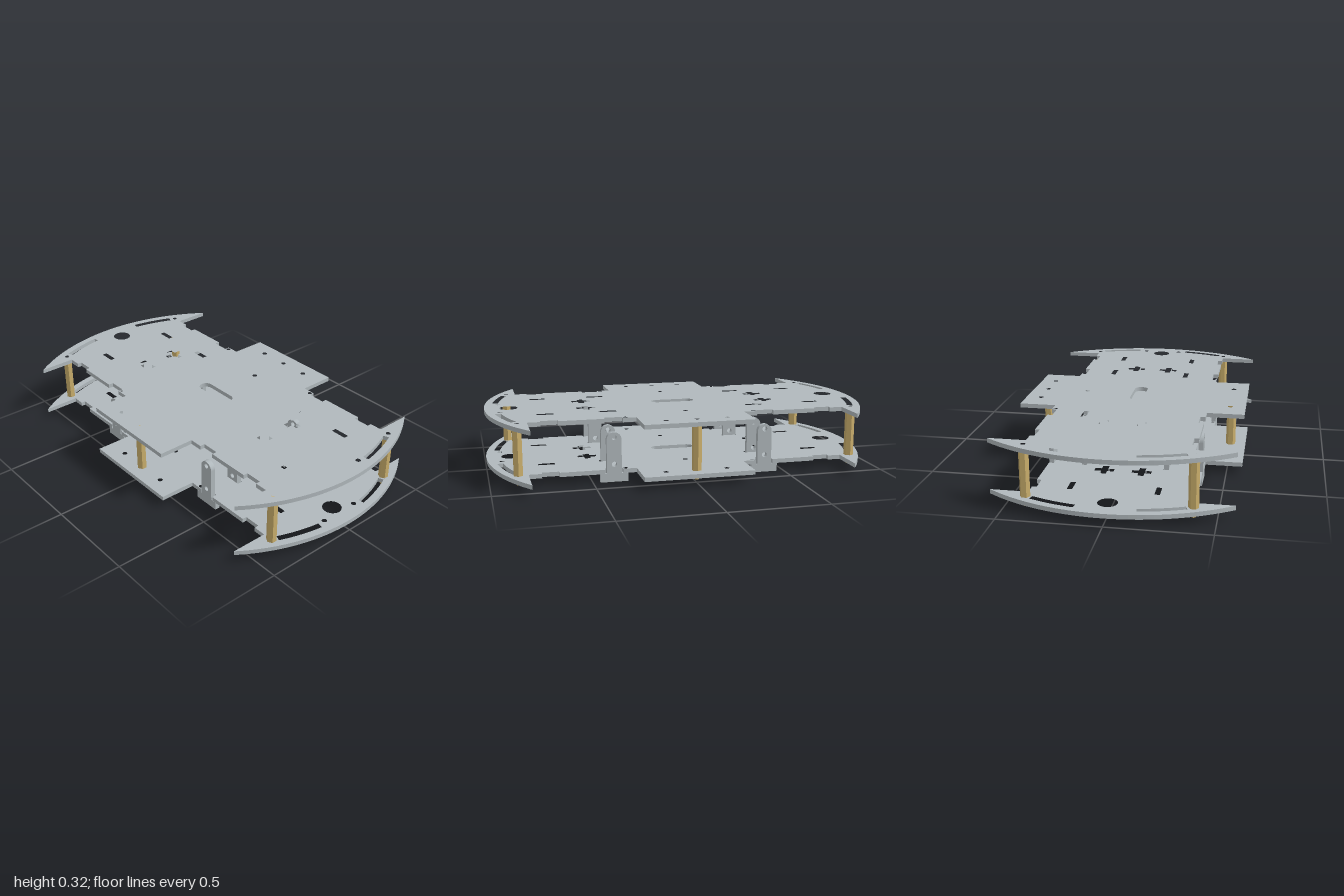
import * as THREE from 'three';

const steel = new THREE.MeshStandardMaterial({ color: 0xb0b8bc });
steel.name = 'plate grey';
const brass = new THREE.MeshStandardMaterial({ color: 0xc8ad6b });
brass.name = 'brass';

const PLATE = 0.022, LOW = 0.042, HIGH = 0.3;
const POSTS = [[0, 0.503], [0, -0.503]];
for (const sx of [1, -1]) for (const sz of [1, -1]) POSTS.push([sx * 0.864, sz * 0.393]);

const path = pts => new THREE.Path(pts.map(([x, y]) => new THREE.Vector2(x, y)));
const circle = (x, y, r) => new THREE.Path().absarc(x, y, r, 0, Math.PI * 2, true);
const rect = (x, y, w, h) => path([[x - w, y - h], [x - w, y + h], [x + w, y + h], [x + w, y - h]]);
const cross = (x, y, a, b) => path([
  [-b, -a], [-b, -b], [-a, -b], [-a, b], [-b, b], [-b, a],
  [b, a], [b, b], [a, b], [a, -b], [b, -b], [b, -a],
].map(([px, py]) => [x + px, y + py]));

// Chassis deck with fins, edge notches and all cut-outs
function deckGeometry() {
  const quarter = [
    [0.28, 0.581], [0.28, 0.393], [0.348, 0.393], [0.348, 0.367], [0.438, 0.367], [0.438, 0.393],
    [0.665, 0.393], [0.665, 0.37], [0.75, 0.37], [0.75, 0.393], [0.815, 0.393],
  ];
  const tip = Math.atan2(0.581, 0.815);
  for (let i = 0; i <= 16; i++) {
    const a = tip * (1 - i / 16);
    quarter.push([Math.cos(a), Math.sin(a)]);
  }
  const back = quarter.slice(0, -1).reverse();
  const flip = (pts, sx, sy) => pts.map(([x, y]) => [x * sx, y * sy]);
  const outline = [
    ...quarter, ...flip(back, 1, -1),
    ...flip(quarter, -1, -1), ...flip(back, -1, 1),
  ];
  const shape = new THREE.Shape(outline.map(([x, y]) => new THREE.Vector2(x, y)));

  // Central rounded slot
  const slot = new THREE.Path();
  slot.absarc(0.082, 0, 0.035, -Math.PI / 2, Math.PI / 2, false);
  slot.absarc(-0.082, 0, 0.035, Math.PI / 2, Math.PI * 1.5, false);
  shape.holes.push(slot);

  for (const [x, z] of POSTS) shape.holes.push(circle(x, z, 0.012));
  for (const s of [1, -1]) {
    shape.holes.push(circle(s * 0.877, 0, 0.048));
    shape.holes.push(circle(0, s * 0.283, 0.013));
    shape.holes.push(circle(0.925, s * 0.103, 0.013));
    for (const t of [1, -1]) {
      shape.holes.push(circle(s * 0.156, t * 0.503, 0.013));
      shape.holes.push(circle(s * 0.333, t * 0.378, 0.011));
      shape.holes.push(rect(s * 0.709, t * 0.21, 0.042, 0.013));
      shape.holes.push(rect(s * 0.393, t * 0.21, 0.045, 0.013));
      shape.holes.push(cross(s * 0.486, t * 0.094, 0.049, 0.016));
      // Curved slot following the rim
      const arc = [];
      for (let i = 0; i <= 8; i++) arc.push([0.963, 0.153 + 0.24 * i / 8]);
      for (let i = 8; i >= 0; i--) arc.push([0.933, 0.153 + 0.24 * i / 8]);
      shape.holes.push(path(arc.map(([r, a]) => [s * r * Math.cos(a), t * r * Math.sin(a)])));
    }
  }
  return new THREE.ExtrudeGeometry(shape, { depth: PLATE, bevelEnabled: false, curveSegments: 12 })
    .rotateX(-Math.PI / 2);
}

// T-shaped motor bracket with a round top and two holes
function bracketGeometry() {
  const w = 0.0375, t = 0.025;
  const shape = new THREE.Shape();
  shape.moveTo(-0.07, 0);
  shape.lineTo(0.07, 0);
  shape.lineTo(0.07, LOW);
  shape.lineTo(w, LOW);
  shape.absarc(0, 0.252 - w, w, 0, Math.PI, false);
  shape.lineTo(-w, LOW);
  shape.lineTo(-0.07, LOW);
  shape.holes.push(circle(0, 0.227, 0.013), circle(0, 0.09, 0.013));
  return new THREE.ExtrudeGeometry(shape, { depth: t, bevelEnabled: false, curveSegments: 16 })
    .translate(0, 0, -t / 2);
}

export function createModel() {
  const model = new THREE.Group();
  model.name = 'twoDeckChassis';
  const add = (name, geometry, material, x, y, z) => {
    const mesh = new THREE.Mesh(geometry, material);
    mesh.name = name;
    mesh.position.set(x, y, z);
    model.add(mesh);
  };

  const deck = deckGeometry();
  add('lowerDeck', deck, steel, 0, LOW, 0);
  add('upperDeck', deck, steel, 0, HIGH, 0);

  // Hexagonal spacers with a stud through the lower deck
  const bottom = LOW + PLATE;
  const spacer = new THREE.CylinderGeometry(0.025, 0.025, HIGH - bottom, 6).toNonIndexed();
  spacer.computeVertexNormals();
  const stud = new THREE.CylinderGeometry(0.0118, 0.0118, bottom - 0.018, 12);
  for (const [x, z] of POSTS) {
    add('spacer', spacer, brass, x, (HIGH + bottom) / 2, z);
    add('spacerStud', stud, brass, x, (bottom + 0.018) / 2, z);
  }

  // Motor brackets, an inner and outer pair on each side
  const bracket = bracketGeometry();
  for (const x of [0.393, -0.393])
    for (const z of [0.381, 0.21, -0.21, -0.381]) add('motorBracket', bracket, steel, x, 0, z);

  return model;
}
